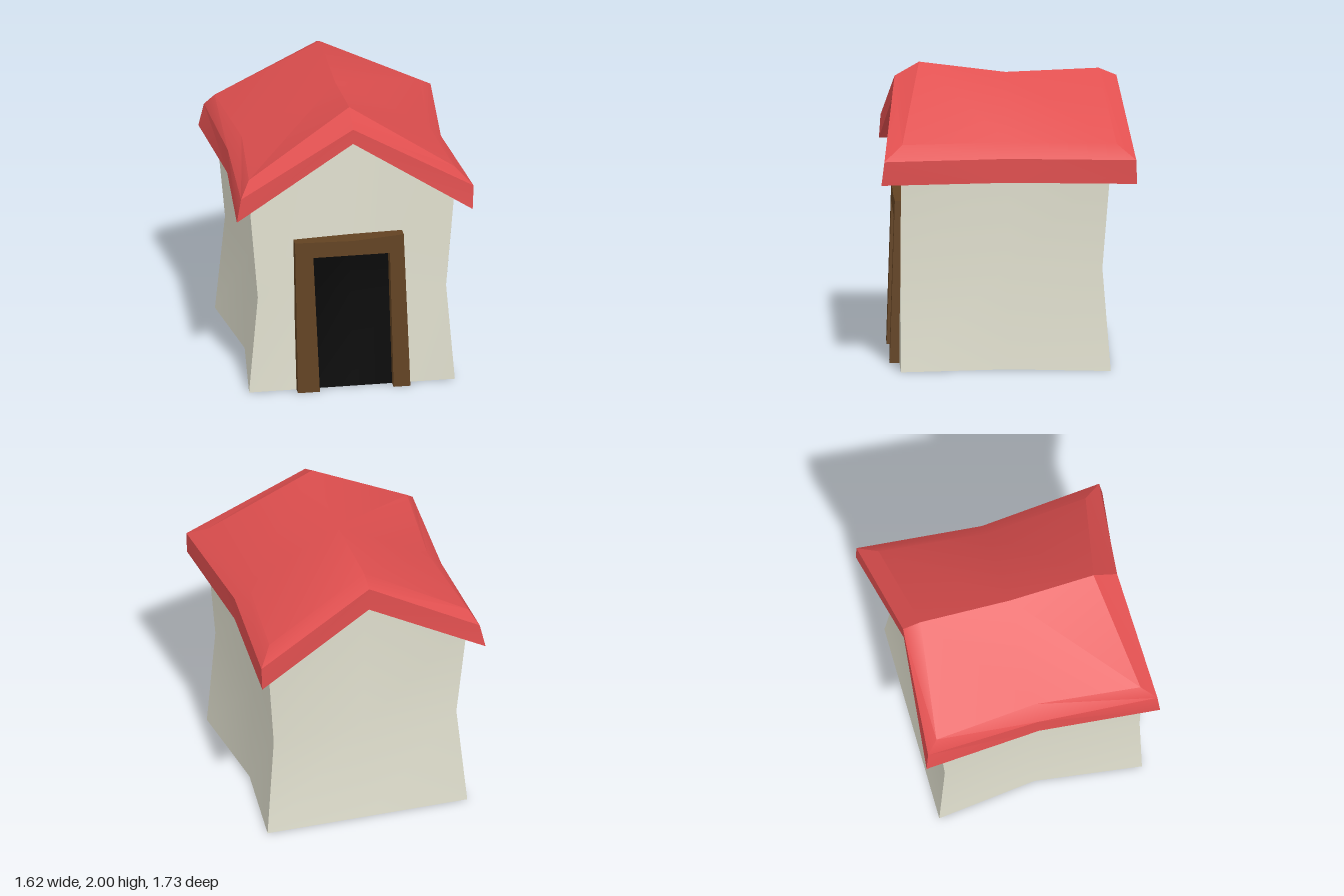
import * as THREE from 'three';
import { toCreasedNormals } from 'three/addons/utils/BufferGeometryUtils.js';

// Joins rows of points with triangles, skipping collapsed ones.
function skin(...grids) {
  const pos = [];
  const same = (p, q) => p.every((v, i) => v === q[i]);
  const tri = (a, b, c) => {
    if (!same(a, b) && !same(b, c) && !same(a, c)) pos.push(...a, ...b, ...c);
  };
  for (const rows of grids) {
    for (let i = 0; i < rows.length - 1; i++) {
      for (let j = 0; j < rows[i].length - 1; j++) {
        const a = rows[i][j], b = rows[i][j + 1];
        const c = rows[i + 1][j + 1], d = rows[i + 1][j];
        tri(a, b, c);
        tri(a, c, d);
      }
    }
  }
  const g = new THREE.BufferGeometry();
  g.setAttribute('position', new THREE.Float32BufferAttribute(pos, 3));
  return toCreasedNormals(g, 0.45);
}

// Right side, back and left side of the walls at one level.
function sideRow({ xl, xr, midX, back, backC = back, y, yBack = y }) {
  return [
    [xr, y, 0.73], [midX, y, 0], [xr, y, back], [0, yBack, backC],
    [xl, y, back], [-midX, y, 0], [xl, y, 0.73],
  ];
}

// Front wall at one level, sunk towards the middle, with columns at the doorway.
function frontRow({ xl, xr, y, sink, yPeak = y }) {
  const h = Math.min(y, 1);
  return [xl, -0.24 - 0.04 * h, 0, 0.275 - 0.02 * h, xr].map((x) => {
    const t = 1 - Math.abs(x / (x < 0 ? xl : xr));
    return [x, y + (yPeak - y) * t, 0.73 - sink * t];
  });
}

// One roof cross-section: eave face, edge and top, left to right.
function roofRow({ under, edge }, top = edge) {
  return [under[0], edge[0], ...top, edge[2], under[2]];
}

export function createModel() {
  const model = new THREE.Group();
  const material = (name, color, side = THREE.FrontSide) => {
    const m = new THREE.MeshStandardMaterial({ color, side });
    m.name = name;
    return m;
  };
  const plaster = material('plaster', 0xe0dfce, THREE.DoubleSide);
  const roofRed = material('roofRed', 0xe04f4f, THREE.DoubleSide);
  const wood = material('wood', 0x624222);
  const black = material('doorwayBlack', 0x060606, THREE.DoubleSide);

  const add = (name, geometry, mat) => {
    const mesh = new THREE.Mesh(geometry, mat);
    mesh.name = name;
    model.add(mesh);
  };

  // Walls: pinched at the waist, open underneath, with a doorway in front
  const sides = [
    sideRow({ xl: -0.71, xr: 0.7, midX: 0.62, back: -0.69, y: 0 }),
    sideRow({ xl: -0.65, xr: 0.64, midX: 0.59, back: -0.635, backC: -0.61, y: 0.7 }),
    sideRow({ xl: -0.71, xr: 0.7, midX: 0.62, back: -0.69, backC: -0.64, y: 1.42, yBack: 1.8 }),
  ];
  const fronts = [
    frontRow({ xl: -0.71, xr: 0.7, y: 0, sink: 0 }),
    frontRow({ xl: -0.65, xr: 0.64, y: 0.7, sink: 0.075 }),
    frontRow({ xl: -0.673, xr: 0.663, y: 0.98, sink: 0.085 }),
    frontRow({ xl: -0.71, xr: 0.7, y: 1.42, sink: 0.11, yPeak: 1.87 }),
  ];
  const doorRows = fronts.slice(0, 3);
  add('walls', skin(
    sides,
    doorRows.map((r) => r.slice(0, 2)),
    doorRows.map((r) => r.slice(3)),
    fronts.slice(2),
  ), plaster);

  // Dark doorway filling the gap in the front wall
  add('doorway', skin(doorRows.map((r) => r.slice(1, 4))), black);

  // Roof: sagging shell with bevelled ends and a rim running in to the walls
  const front = {
    under: [[-0.81, 1.31, 0.83], [0, 1.8, 0.75], [0.8, 1.31, 0.865]],
    edge: [[-0.78, 1.475, 0.82], [0, 1.905, 0.75], [0.81, 1.475, 0.845]],
  };
  const middle = {
    under: [[-0.74, 1.31, 0], [0, 1.75, 0], [0.725, 1.31, 0]],
    edge: [[-0.735, 1.475, 0], [0, 1.85, 0], [0.725, 1.475, 0]],
  };
  const back = {
    under: [[-0.805, 1.31, -0.805], [0, 1.73, -0.745], [0.79, 1.31, -0.865]],
    edge: [[-0.77, 1.475, -0.785], [0, 1.9, -0.75], [0.795, 1.475, -0.86]],
  };
  const [frontL, , frontC, , frontR] = fronts[3];
  add('roof', skin(
    [
      roofRow(front),
      roofRow(front, [[-0.71, 1.57, 0.72], [0, 2, 0.585], [0.7, 1.57, 0.72]]),
      roofRow(middle, [[-0.64, 1.57, 0], [0, 1.925, 0], [0.63, 1.57, 0]]),
      roofRow(back, [[-0.71, 1.57, -0.71], [0, 1.95, -0.63], [0.7, 1.57, -0.73]]),
      roofRow(back),
    ],
    [front.under, front.edge],
    [back.edge, back.under],
    [
      [frontL, frontC, frontR, ...sides[2].slice(1)],
      [
        ...front.under, middle.under[2], back.under[2], back.under[1],
        back.under[0], middle.under[0], front.under[0],
      ],
    ],
  ), roofRed);

  // Door frame: crooked arch leaning back towards the top
  const outline = [
    [-0.385, 0], [-0.235, 0], [-0.275, 0.98], [0.25, 0.98],
    [0.27, 0], [0.385, 0], [0.345, 1.11], [0, 1.085], [-0.4, 1.095],
  ].map(([x, y]) => new THREE.Vector2(x, y));
  const frame = new THREE.ExtrudeGeometry(new THREE.Shape(outline),
    { depth: 1, bevelEnabled: false });
  const p = frame.attributes.position;
  for (let i = 0; i < p.count; i++) {
    const y = p.getY(i);
    p.setZ(i, p.getZ(i) < 0.5 ? 0.69 - 0.05 * y : 0.795 - 0.032 * y);
  }
  add('doorFrame', toCreasedNormals(frame, 0.45), wood);

  return model;
}
